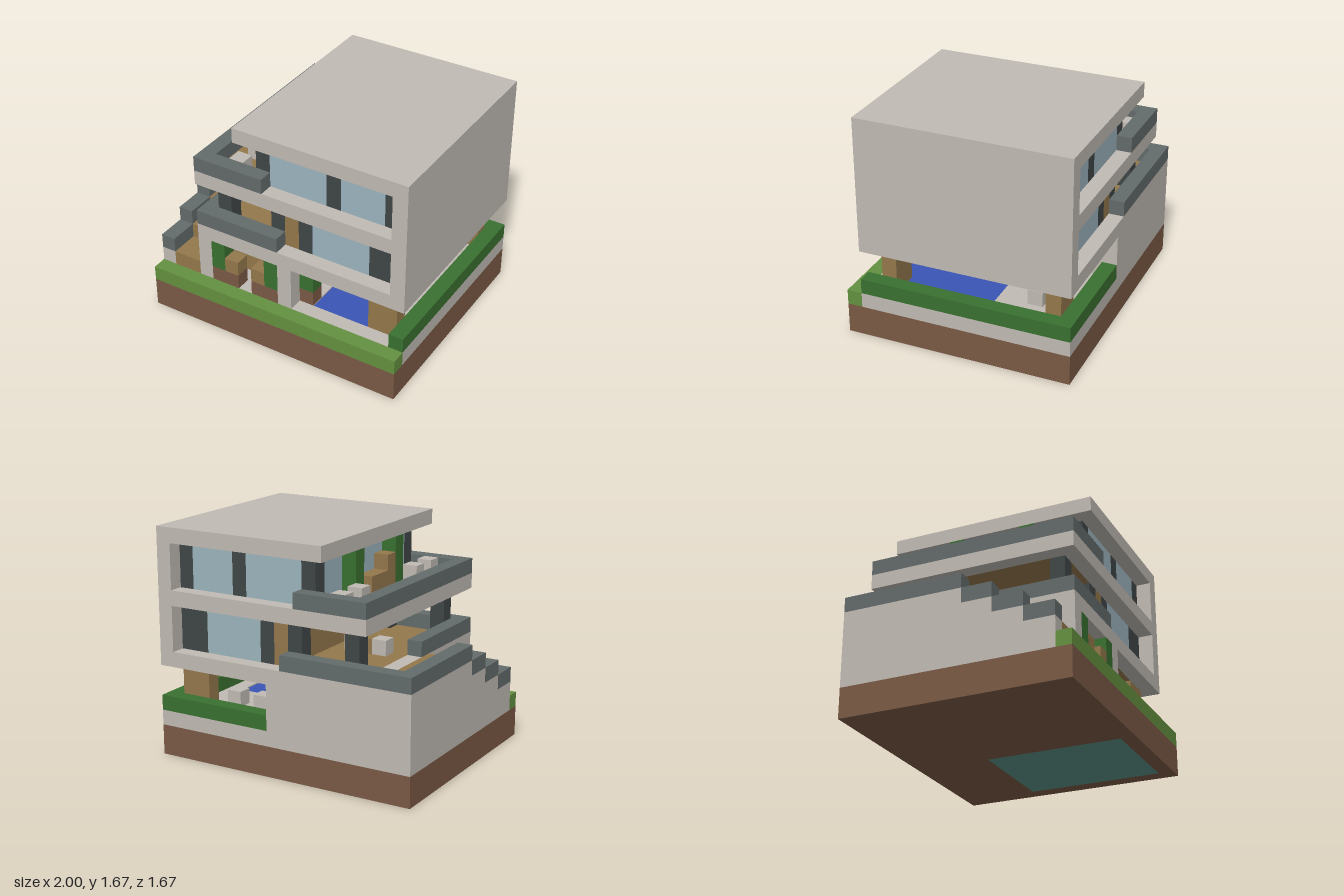
import * as THREE from 'three';

const U = 1 / 9; // grid unit: the model is 18 x 15 x 15 units

const material = (name, color) => {
  const m = new THREE.MeshStandardMaterial({ color });
  m.name = name;
  return m;
};

export function createModel() {
  const group = new THREE.Group();
  group.name = 'modernHouse';

  const plaster = material('plaster', 0xc0bab3);
  const slate = material('slate', 0x636b6b);
  const frame = material('darkFrame', 0x404646);
  const glass = material('glass', 0x9cb4be);
  const wood = material('wood', 0x94784c);
  const soil = material('soil', 0x7b5a45);
  const grass = material('grass', 0x649140);
  const leaf = material('leaf', 0x3a7030);
  const water = material('water', 0x3a55b4);
  const tile = material('poolTile', 0x5b9388);

  // Box from grid ranges; z counts from the back
  function box(name, mat, x0, x1, y0, y1, z0, z1) {
    const g = new THREE.BoxGeometry((x1 - x0) * U, (y1 - y0) * U, (z1 - z0) * U);
    const mesh = new THREE.Mesh(g, mat);
    mesh.name = name;
    mesh.position.set(((x0 + x1) / 2 - 9) * U, ((y0 + y1) / 2) * U, ((z0 + z1) / 2 - 7.5) * U);
    group.add(mesh);
  }

  // Four boxes around a rectangular hole
  function ring(name, mat, [x0, x1, z0, z1], [a0, a1, b0, b1], y0, y1) {
    box(name, mat, x0, a0, y0, y1, z0, z1);
    box(name, mat, a1, x1, y0, y1, z0, z1);
    box(name, mat, a0, a1, y0, y1, z0, b0);
    box(name, mat, a0, a1, y0, y1, b1, z1);
  }

  // Ground and pool
  ring('earth', soil, [0, 18, 0, 15], [10, 17, 5, 14], 0, 2);
  box('poolFloor', tile, 10, 17, 0, 2, 5, 14);
  ring('terrace', plaster, [0, 18, 0, 14], [11, 16, 6, 13], 2, 3);
  box('poolWater', water, 11, 16, 2, 2.92, 6, 13);
  box('frontLawn', grass, 0, 18, 2, 3, 14, 15);
  box('sideHedge', leaf, 17, 18, 3, 4, 0, 14);
  box('backHedge', leaf, 10, 17, 3, 4, 0, 1);

  // Ground floor walls and pillars
  box('backWall', plaster, 0, 10, 3, 7, 0, 1);
  box('stairInnerWall', plaster, 3, 4, 3, 6, 1, 13);
  for (const x of [3, 9]) box('frontPillar', plaster, x, x + 1, 3, 6, 13, 14);
  for (const z of [1, 12]) box('woodPillar', wood, 15, 17, 3, 6, z, z + 1);
  box('roomFrontWall', wood, 4, 9, 3, 6, 11, 12);
  box('roomSideWall', plaster, 9, 10, 3, 6, 1, 6);
  for (const z of [6, 11]) box('patioDoorFrame', soil, 9, 10, 3, 6, z, z + 1);
  box('patioDoorGlass', glass, 9, 10, 3, 6, 7, 11);

  // Planters with bushes, and seats beside the entrance
  for (const [x, z] of [[4, 13], [8, 13], [10, 12], [10, 5]]) {
    box('planter', soil, x, x + 1, 3, 4, z, z + 1);
    box('bush', leaf, x, x + 1, 4, 6, z, z + 1);
  }
  for (const x of [5, 7]) {
    box('entranceBlockBase', soil, x, x + 1, 3, 4, 13, 14);
    box('entranceBlockTop', wood, x, x + 1, 4, 5, 13, 14);
  }
  box('poolBar', soil, 10, 11, 3, 5, 2, 4);
  for (const x of [12, 14]) box('poolSeat', plaster, x, x + 1, 3, 4, 3, 4);

  // Outside stair with a stepped wall and coping
  box('stairLanding', wood, 1, 3, 3, 7, 1, 8);
  box('stairWall', plaster, 0, 1, 3, 7, 1, 8);
  box('stairCoping', slate, 0, 1, 7, 8, 0, 8);
  for (let i = 0; i < 3; i++) {
    const z = 8 + 2 * i, top = 6 - i;
    box('stairStep', wood, 1, 3, 3, top, z, z + 2);
    box('stairWall', plaster, 0, 1, 3, top, z, z + 2);
    box('stairCoping', slate, 0, 1, top, top + 1, z, z + 2);
  }

  // Floor slabs with wooden decks, roof and the tall side wall
  for (const y of [6, 10]) {
    ring('floorSlabEdge', plaster, [3, 17, 0, 14], [4, 16.99, 1, 13], y, y + 1);
    box('deck', wood, 4, 17, y, y + 1, 1, 13);
  }
  box('roof', plaster, 6, 17, 14, 15, 0, 14);
  box('sideWall', plaster, 17, 18, 6, 15, 0, 14);

  // Terrace parapets
  box('middleParapetSide', slate, 3, 4, 7, 8, 7, 14);
  box('middleParapetFront', slate, 4, 9, 7, 8, 13, 14);
  box('middleParapetBack', slate, 1, 9, 7, 8, 0, 1);
  box('upperParapetSide', slate, 3, 4, 11, 12, 0, 14);
  for (const z of [0, 13]) box('upperParapetEnd', slate, 4, 8, 11, 12, z, z + 1);

  // Window walls, the same at the front and the back
  for (const z of [1, 12]) {
    for (const [a, b] of [[4, 5], [8, 9], [10, 11], [15, 17]]) box('middlePost', frame, a, b, 7, 10, z, z + 1);
    box('middleWindow', glass, 11, 15, 7, 10, z, z + 1);
    for (const [a, b] of [[7, 8], [12, 13], [16, 17]]) box('upperPost', frame, a, b, 11, 14, z, z + 1);
    for (const [a, b] of [[8, 12], [13, 16]]) box('upperWindow', glass, a, b, 11, 14, z, z + 1);
  }

  // Walls facing the terraces
  box('middleTerraceWall', wood, 9, 10, 7, 10, 1, 13);
  for (const z of [4, 9]) {
    box('upperTerracePost', frame, 7, 8, 11, 14, z, z + 1);
    box('climbingPlant', leaf, 6, 7, 11, 14, z, z + 1);
  }
  for (const [a, b] of [[2, 4], [5, 9], [10, 12]]) box('upperTerraceWindow', glass, 7, 8, 11, 14, a, b);

  // Terrace furniture
  for (const z of [1, 3, 10, 12]) box('upperSeat', plaster, 5, 6, 11, 12, z, z + 1);
  box('upperCounter', wood, 6, 7, 11, 12, 6, 8);
  box('upperCabinet', wood, 6, 7, 11, 13, 8, 9);
  for (const x of [5, 7]) box('middleSeat', plaster, x, x + 1, 7, 8, 6, 7);
  box('middleTable', wood, 6, 7, 7, 8, 6, 7);

  return group;
}
